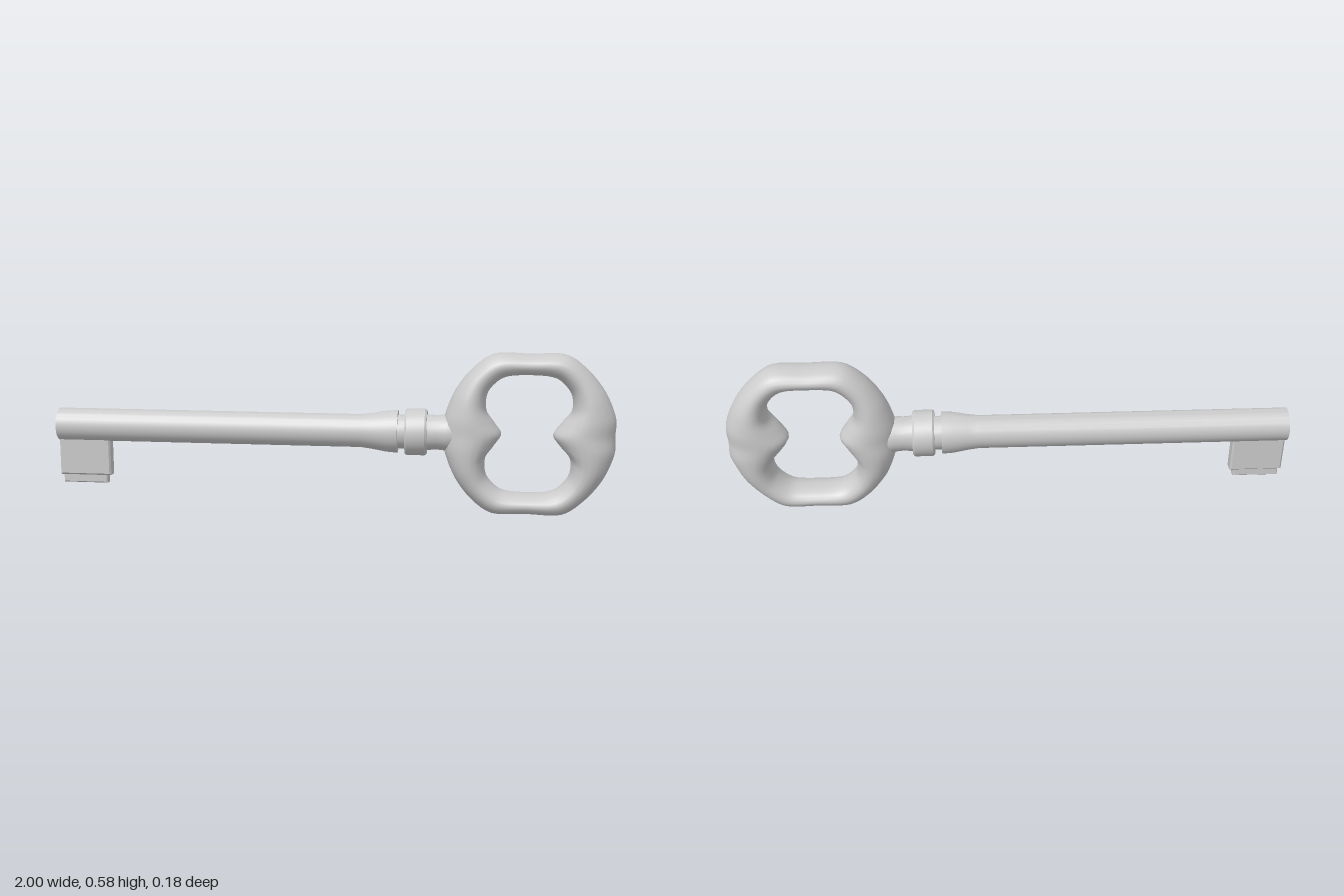
import * as THREE from 'three';
import { toCreasedNormals } from 'three/addons/utils/BufferGeometryUtils.js';

const AXIS_Y = 0.286;

// Turned part along x from [x, radius] pairs
function turned(profile) {
  const pts = profile.map(([x, r]) => new THREE.Vector2(r, x));
  const geo = new THREE.LatheGeometry(pts, 40);
  geo.rotateZ(-Math.PI / 2);
  geo.translate(0, AXIS_Y, 0);
  return toCreasedNormals(geo, 0.6);
}

// Plate with chamfered edges, centred on z
function plate(x0, x1, y0, y1, depth, bevel) {
  const s = new THREE.Shape();
  s.moveTo(x0 + bevel, y0 + bevel);
  s.lineTo(x1 - bevel, y0 + bevel);
  s.lineTo(x1 - bevel, y1 - bevel);
  s.lineTo(x0 + bevel, y1 - bevel);
  s.closePath();
  const geo = new THREE.ExtrudeGeometry(s, {
    depth: depth - 2 * bevel, bevelSize: bevel, bevelThickness: bevel, bevelSegments: 1,
  });
  geo.translate(0, 0, bevel - depth / 2);
  return geo;
}

// Ring of elliptical sections between an outer and an inner outline
function bowGeometry() {
  // upper half, right to left: outer x, y, inner x, y, half thickness
  const half = [
    [0.3, 0, 0.086, 0, 0.09],
    [0.3, 0.065, 0.112, 0.04, 0.09],
    [0.262, 0.155, 0.148, 0.085, 0.084],
    [0.2, 0.232, 0.143, 0.15, 0.074],
    [0.122, 0.285, 0.09, 0.202, 0.071],
    [0, 0.285, 0, 0.212, 0.07],
    [-0.122, 0.285, -0.09, 0.202, 0.071],
    [-0.2, 0.232, -0.143, 0.15, 0.074],
    [-0.258, 0.155, -0.148, 0.085, 0.084],
    [-0.293, 0.065, -0.118, 0.04, 0.09],
    [-0.3, 0, -0.094, 0, 0.09],
  ];
  const lower = half.slice(1, -1).reverse().map(([a, b, c, d, h]) => [a, -b, c, -d, h]);
  const all = [...half, ...lower];
  const loop = (f) => new THREE.CatmullRomCurve3(
    all.map((p) => new THREE.Vector3(...f(p))), true, 'catmullrom', 0.45);
  const outer = loop((p) => [p[0], p[1], p[4]]);
  const inner = loop((p) => [p[2], p[3], 0]);
  const N = 100, M = 20, pos = [], idx = [];
  for (let i = 0; i < N; i++) {
    const o = outer.getPoint(i / N), n = inner.getPoint(i / N);
    for (let j = 0; j < M; j++) {
      const a = (j / M) * Math.PI * 2, k = (1 + Math.cos(a)) / 2;
      pos.push(0.7 + n.x + (o.x - n.x) * k, AXIS_Y + n.y + (o.y - n.y) * k, o.z * Math.sin(a));
      const i2 = (i + 1) % N, j2 = (j + 1) % M;
      const A = i * M + j, B = i2 * M + j, C = i2 * M + j2, D = i * M + j2;
      idx.push(A, B, C, A, C, D);
    }
  }
  const geo = new THREE.BufferGeometry();
  geo.setAttribute('position', new THREE.Float32BufferAttribute(pos, 3));
  geo.setIndex(idx);
  geo.computeVertexNormals();
  return geo;
}

export function createModel() {
  const key = new THREE.Group();
  key.name = 'key';
  const mat = new THREE.MeshStandardMaterial({ color: 0xcccccc });
  const add = (name, geo) => {
    const mesh = new THREE.Mesh(geo, mat);
    mesh.name = name;
    key.add(mesh);
  };

  // Shank with a flared shoulder
  add('shank', turned([
    [-1, 0], [-1, 0.059], [0.11, 0.059], [0.15, 0.064], [0.2, 0.073],
    [0.242, 0.076], [0.242, 0.06], [0.28, 0.06],
  ]));

  // Raised collar
  add('collar', turned([
    [0.268, 0.055], [0.268, 0.078], [0.274, 0.083], [0.338, 0.083], [0.345, 0.078], [0.345, 0.055],
  ]));

  // Neck running into the bow
  add('neck', turned([[0.34, 0.064], [0.38, 0.061], [0.41, 0.064], [0.44, 0.066], [0.48, 0.05], [0.5, 0]]));

  // Finger bow
  add('bow', bowGeometry());

  // Bit with a narrower stepped edge
  add('bit', plate(-1, -0.81, 0.1, 0.26, 0.046, 0.006));
  add('bitEdge', plate(-0.99, -0.825, 0.07, 0.12, 0.032, 0.004));
  return key;
}
